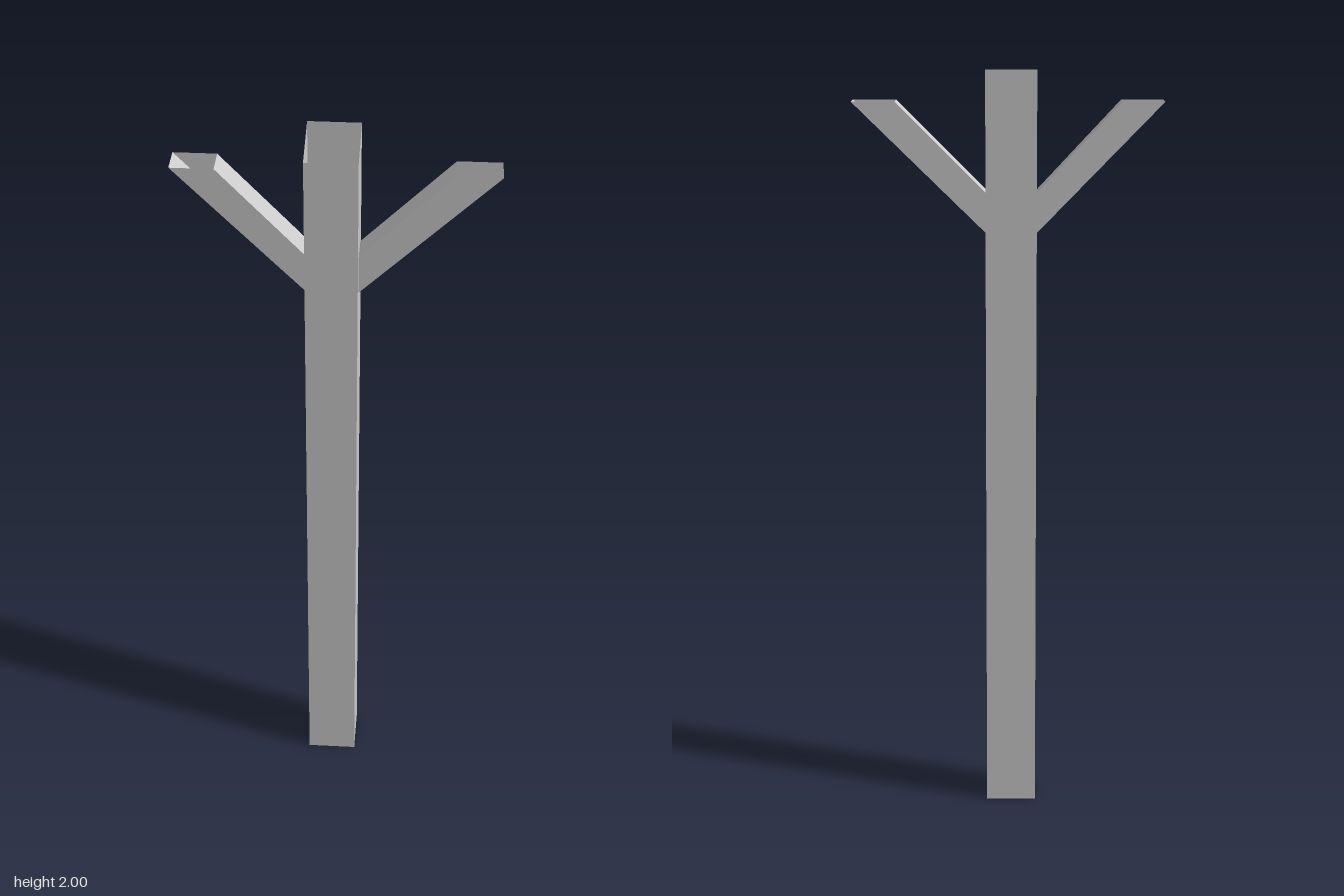
import * as THREE from 'three';

const material = new THREE.MeshStandardMaterial({
  color: 0xcccccc, flatShading: true, side: THREE.DoubleSide,
});

// Open four-sided tube joining two rings of four corners
function openTube(name, startRing, endRing) {
  const positions = [];
  for (let i = 0; i < 4; i++) {
    const j = (i + 1) % 4;
    const [a, b, c, d] = [startRing[i], startRing[j], endRing[j], endRing[i]];
    positions.push(...a, ...b, ...c, ...a, ...c, ...d);
  }
  const geometry = new THREE.BufferGeometry();
  geometry.setAttribute('position', new THREE.Float32BufferAttribute(positions, 3));
  geometry.computeVertexNormals();
  const mesh = new THREE.Mesh(geometry, material);
  mesh.name = name;
  return mesh;
}

// Hollow post, its top cut on a slope that rises to the back
function createPost() {
  const left = 0.058, right = -0.075, front = 0.069, back = -0.065;
  const ring = (frontY, backY) => [
    [right, frontY, front], [left, frontY, front],
    [left, backY, back], [right, backY, back],
  ];
  return openTube('post', ring(0, 0), ring(1.96, 2));
}

// Hollow arm: upright cut at the post, level cut at the tip
function createArm(name, rootX, tipInnerX, tipOuterX) {
  const front = 0.037, back = -0.04, rootLow = 1.565, rootHigh = 1.669, tipY = 1.917;
  const ring = (lower, upper) => [
    [...lower, front], [...lower, back], [...upper, back], [...upper, front],
  ];
  const root = ring([rootX, rootLow], [rootX, rootHigh]);
  const tip = ring([tipOuterX, tipY], [tipInnerX, tipY]);
  // Reverse the rings on the right side so faces point outward
  return rootX > 0
    ? openTube(name, root, tip)
    : openTube(name, root.reverse(), tip.reverse());
}

export function createModel() {
  const group = new THREE.Group();
  group.name = 'forkedPost';
  group.add(
    createPost(),
    createArm('leftArm', 0.044, 0.291, 0.404),
    createArm('rightArm', -0.062, -0.294, -0.404),
  );
  return group;
}
